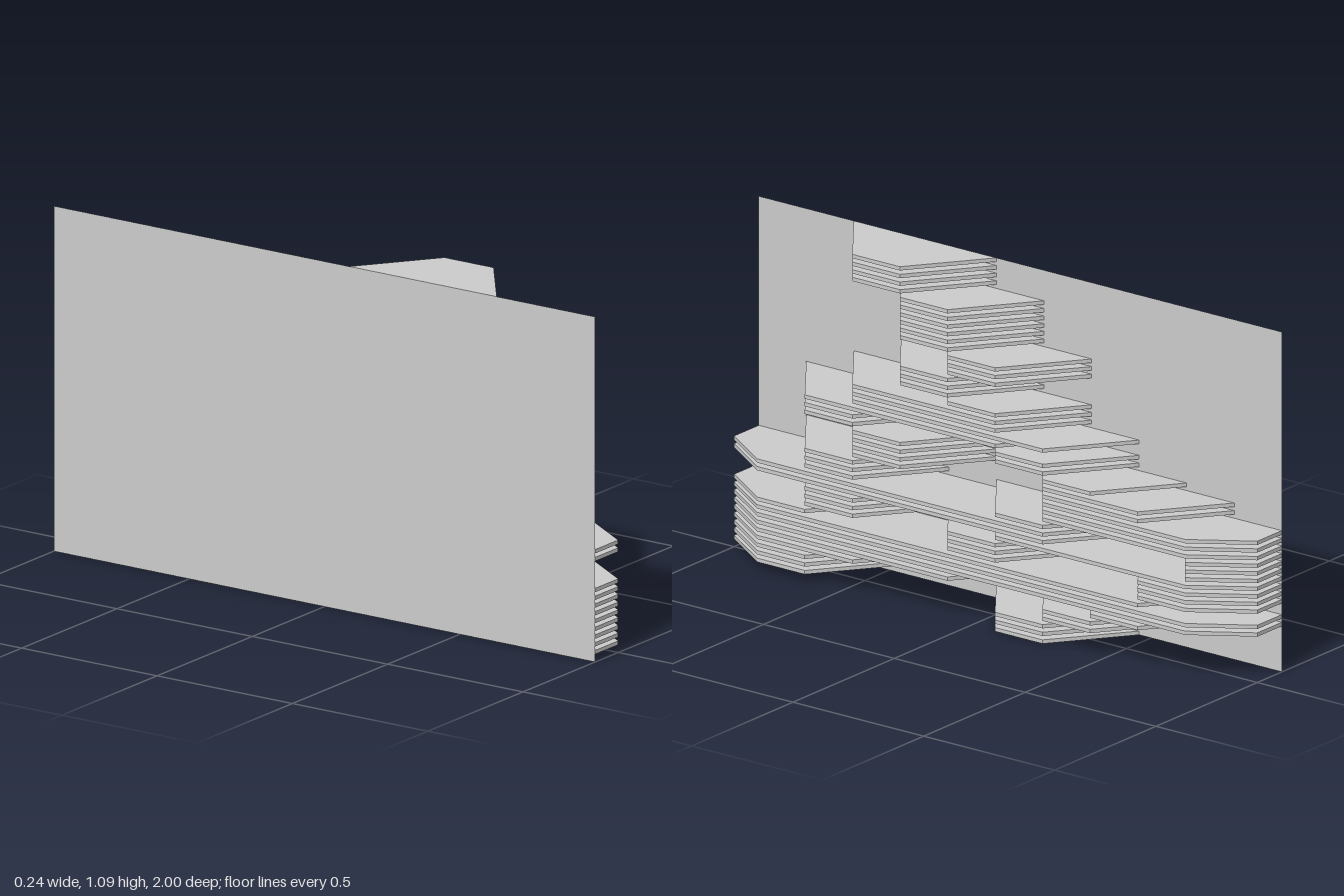
import * as THREE from 'three';

const HALF = 0.121;        // half depth of the slats in x
const COLS = 11;           // grid steps along z
const LAYERS = 45;
const T = 1.09 / (2 * LAYERS - 1); // slat thickness, equal to the gap

const zAt = (k) => 1 - (2 * k) / COLS;

// Each run: [first layer, last layer, [start, end] grid steps of each slat]
const RUNS = [
  [0, 0, [5, 8]],
  [1, 2, [0, 3], [5, 8]],
  [3, 3, [0, 3], [6, 9]],
  [4, 4, [0, 4], [6, 9]],
  [5, 5, [0, 6], [7, 10]],
  [6, 7, [0, 11]],
  [8, 8, [0, 10]],
  [9, 9, [0, 3], [4, 7], [8, 11]],
  [10, 11, [1, 4], [4, 7], [8, 11]],
  [12, 12, [1, 4], [5, 11]],
  [13, 14, [0, 8], [9, 11]],
  [15, 15, [1, 4], [5, 8], [9, 11]],
  [16, 17, [1, 4], [6, 11]],
  [18, 18, [2, 5], [6, 11]],
  [19, 20, [2, 5], [6, 10]],
  [21, 21, [2, 5], [6, 9]],
  [22, 23, [1, 4], [5, 8]],
  [24, 24, [1, 7]],
  [25, 25, [2, 8]],
  [26, 27, [2, 7]],
  [28, 28, [4, 7]],
  [29, 31, [3, 6]],
  [32, 34, [4, 7]],
  [35, 40, [3, 6]],
  [41, 44, [2, 5]],
];

// Flat slat: wide at the wall, one step narrower at each outer end,
// with a square inner half where it meets the end of the wall
function slatGeometry(a, b) {
  const pts = [[-HALF, a]];
  if (a === 0) pts.push([0, 0]);
  pts.push([HALF, a + 1]);
  if (b - 1 > a + 1) pts.push([HALF, b - 1]);
  if (b === COLS) pts.push([0, COLS]);
  pts.push([-HALF, b]);
  const shape = new THREE.Shape(pts.map(([x, k]) => new THREE.Vector2(x, -zAt(k))));
  const geo = new THREE.ExtrudeGeometry(shape, { depth: T, bevelEnabled: false });
  return geo.rotateX(-Math.PI / 2);
}

export function createModel() {
  const model = new THREE.Group();
  model.name = 'slattedWallRelief';
  const material = new THREE.MeshStandardMaterial({ color: 0xcccccc });

  // Thin back wall
  const wall = new THREE.Mesh(
    new THREE.PlaneGeometry(2, 1.09),
    new THREE.MeshStandardMaterial({ color: 0xcccccc, side: THREE.DoubleSide })
  );
  wall.name = 'wallPanel';
  wall.rotation.y = Math.PI / 2;
  wall.position.set(-HALF, 1.09 / 2, 0);
  model.add(wall);

  // Stacked slats
  const slats = new THREE.Group();
  slats.name = 'slats';
  for (const [first, last, ...spans] of RUNS) {
    for (const [a, b] of spans) {
      const geo = slatGeometry(a, b);
      for (let i = first; i <= last; i++) {
        const slat = new THREE.Mesh(geo, material);
        slat.name = 'slat';
        slat.position.y = 2 * T * i;
        slats.add(slat);
      }
    }
  }
  model.add(slats);
  return model;
}
